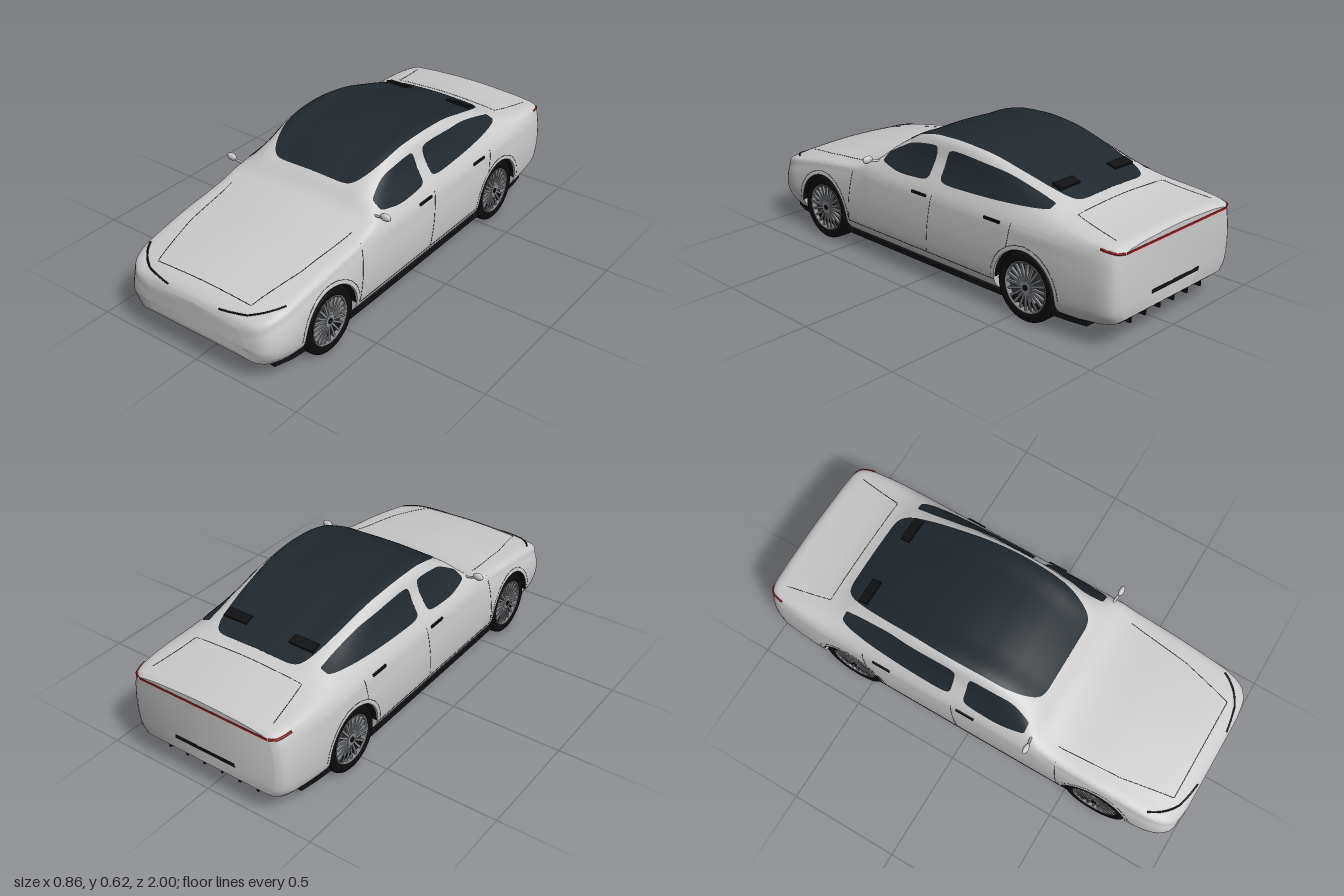
import * as THREE from 'three';
import { toCreasedNormals } from 'three/addons/utils/BufferGeometryUtils.js';

const paint = (color, side = THREE.FrontSide) => new THREE.MeshStandardMaterial({ color, side });
const V = (x, y, z) => new THREE.Vector3(x, y, z);
const lerp = THREE.MathUtils.lerp;
const steps = (n, f) => Array.from({ length: n + 1 }, (_, i) => f(i / n));

// Smooth, overshoot-free interpolation of table rows [z, a, b] (ascending z)
function table(rows) {
  const slope = (i, c) => (rows[i + 1][c] - rows[i][c]) / (rows[i + 1][0] - rows[i][0]);
  const tangent = (i, c) => {
    if (i === 0) return slope(0, c);
    if (i === rows.length - 1) return slope(i - 1, c);
    const a = slope(i - 1, c), b = slope(i, c);
    return a * b <= 0 ? 0 : 2 * a * b / (a + b);
  };
  return z => {
    let i = 0;
    while (i < rows.length - 2 && z > rows[i + 1][0]) i++;
    const h = rows[i + 1][0] - rows[i][0];
    const t = THREE.MathUtils.clamp((z - rows[i][0]) / h, 0, 1), t2 = t * t, t3 = t2 * t;
    return rows[i].slice(1).map((p, k) => (2 * t3 - 3 * t2 + 1) * p + (t3 - 2 * t2 + t) * h * tangent(i, k + 1)
      + (3 * t2 - 2 * t3) * rows[i + 1][k + 1] + (t3 - t2) * h * tangent(i + 1, k + 1));
  };
}

// Plan and sill: z, half width, bottom y
const plan = table([[-1, .34, .13], [-.98, .37, .115], [-.92, .388, .1], [-.7, .4, .085], [.45, .4, .085],
  [.85, .391, .092], [.93, .375, .1], [.97, .35, .108], [.99, .315, .12], [1, .25, .14]]);
// Centre line and roof edge: z, edge x, top y
const crown = table([[-1, .26, .422], [-.98, .27, .434], [-.92, .285, .44], [-.8, .275, .455], [-.7, .255, .477],
  [-.6, .25, .512], [-.45, .262, .556], [-.25, .274, .602], [-.1, .276, .615], [0, .274, .612], [.1, .268, .595],
  [.2, .262, .552], [.28, .27, .505], [.35, .29, .445], [.45, .29, .415], [.65, .29, .388], [.85, .29, .352],
  [.93, .28, .332], [.97, .26, .312], [.99, .23, .295], [1, .17, .272]]);

const AXLES = [.645, -.575], WHEEL_R = .145, ARCH_R = .156;

// Half cross-section from sill to roof centre; pillars lean in more where the roof is high
function section(z) {
  const [w, yb] = plan(z), [xr, yt] = crown(z);
  const yr = yt - .013, ys = Math.min(.39, yt - .058), ym = lerp(ys, yt, .54);
  const xm = lerp(xr, w - .014, Math.min(.88, .375 + 2.5 * (.615 - yt)));
  const half = [[w - .04, yb], [w - .012, yb + .035], [w, lerp(yb, ys, .45)], [w - .004, lerp(yb, ys, .8)],
    [w - .014, ys], [xm, ym], [xr, yr], [xr * .55, lerp(yt, yr, .35)]];
  const all = [...half, [0, yt], ...half.map(([x, y]) => [-x, y]).reverse()];
  return new THREE.CatmullRomCurve3(all.map(([x, y]) => V(x, y, 0))).getPoints(96).slice(0, 49);
}
// Surface look-ups: side x at height y, top y at offset x, nose z at (x, y)
function sideX(z, y, pts = section(z)) {
  for (let i = pts.length - 2; i >= 0; i--) {
    const a = pts[i], b = pts[i + 1];
    if (a.y <= y && y <= b.y) return lerp(a.x, b.x, (y - a.y) / (b.y - a.y || 1));
  }
  return y < pts[0].y ? pts[0].x : 0;
}
function topY(z, x, pts = section(z)) {
  x = Math.abs(x);
  for (let i = pts.length - 2; i >= 0; i--) {
    const a = pts[i], b = pts[i + 1];
    if (a.x >= x) return lerp(b.y, a.y, (x - b.x) / (a.x - b.x || 1));
  }
  return -1;
}
function noseZ(x, y) {
  let lo = .5, hi = 1;
  for (let i = 0; i < 20; i++) {
    const m = (lo + hi) / 2;
    if (y <= topY(m, x)) lo = m; else hi = m;
  }
  return lo;
}

// Surface from a grid of points
function grid(rows) {
  const n = rows[0].length, index = [];
  for (let i = 0; i < rows.length - 1; i++) for (let j = 0; j < n - 1; j++) {
    const a = i * n + j, c = a + n;
    index.push(a, a + 1, c + 1, a, c + 1, c);
  }
  const g = new THREE.BufferGeometry().setFromPoints(rows.flat());
  g.setIndex(index);
  g.computeVertexNormals();
  return g;
}
// Pane with rounded ends: row(z, k) where k falls from 1 to 0 at both ends
const pane = (z0, z1, n, row) => grid(steps(60, u => {
  const t = -Math.cos(Math.PI * u);
  return row(lerp(z0, z1, (1 + t) / 2), Math.max(0, 1 - Math.abs(t) ** n) ** (1 / n));
}));

// Shell with the wheel arches cut out of its lower edge
function bodyGeometry() {
  let zs = steps(100, t => -1 + 2 * t).concat([-.995, -.99, .99, .995, .998]);
  for (const c of AXLES) {
    zs = zs.filter(z => Math.abs(Math.abs(z - c) - ARCH_R) > .002);
    zs.push(c - ARCH_R - .0005, c + ARCH_R + .0005, ...steps(28, t => c + ARCH_R * Math.cos(Math.PI * t)));
  }
  zs.sort((a, b) => a - b);
  const ring = z => {
    const pts = section(z), c = AXLES.find(a => Math.abs(z - a) < ARCH_R + 1e-6);
    const low = c === undefined ? pts[0].y : WHEEL_R + Math.sqrt(Math.max(0, ARCH_R ** 2 - (z - c) ** 2));
    const edge = sideX(z, low, pts);
    const half = [V(0, low, z), ...pts.map(p => (p.y < low ? V(edge, low, z) : V(p.x, p.y, z)))];
    return [...half, ...half.slice(0, -1).reverse().map(p => V(-p.x, p.y, z))];
  };
  const rows = zs.map(ring), flat = row => row.map(p => V(0, p.y, p.z));
  return toCreasedNormals(grid([flat(rows[0]), ...rows, flat(rows[rows.length - 1])]), .7);
}

export function createModel() {
  const car = new THREE.Group();
  const grey = paint(0xcccccc), black = paint(0x111214), dark = paint(0x0c0c0d, THREE.DoubleSide);
  const glass = paint(0x20282e, THREE.DoubleSide), red = paint(0xa01818), alloy = paint(0x85878a);
  const add = (name, geo, mat, parent = car, pos = [0, 0, 0]) => {
    const m = new THREE.Mesh(geo, mat);
    m.name = name;
    m.position.set(...pos);
    parent.add(m);
    return m;
  };
  const box = (name, size, pos, mat) => add(name, new THREE.BoxGeometry(...size), mat, car, pos);
  // Thin line laid on the surface: pts are 2D, place() projects them
  const line = (name, pts, place, r, mat) => {
    const path = pts.slice(1).flatMap((b, i) => steps(10, t => [lerp(pts[i][0], b[0], t), lerp(pts[i][1], b[1], t)]).slice(i ? 1 : 0));
    const curve = new THREE.CatmullRomCurve3(path.map(p => place(...p)));
    add(name, new THREE.TubeGeometry(curve, path.length * 2, r, 5), mat);
  };
  const onTop = (x, z) => V(x, topY(z, x), z);

  add('body', bodyGeometry(), grey);

  // Glass roof running from windscreen to rear window
  const roofWidth = table([[-.682, .225], [-.4, .254], [-.1, .271], [.1, .264], [.275, .225]]);
  add('glassRoof', pane(-.682, .275, 10, (z, k) => {
    const w = roofWidth(z)[0] * k, pts = section(z);
    return steps(32, v => w * (1 - 2 * v)).map(x => V(x, topY(z, x, pts) + .003, z));
  }), glass);

  // Side windows as z, lower y, upper y
  const windows = {
    frontWindow: [[-.015, .437, .573], [.14, .43, .547], [.275, .448, .484]],
    rearWindow: [[-.635, .464, .482], [-.35, .447, .55], [-.078, .439, .574]],
  };
  // Windows, handles, seams, lamps and mirrors on both sides
  for (const s of [1, -1]) {
    const side = s > 0 ? 'left' : 'right';
    const onSide = (z, y) => V(s * sideX(z, y), y, z);
    for (const [name, rows] of Object.entries(windows)) {
      const span = table(rows);
      add(`${side} ${name}`, pane(rows[0][0], rows[2][0], 8, (z, k) => {
        const [lo, hi] = span(z), pts = section(z);
        const row = steps(12, v => (lo + hi) / 2 + (hi - lo) * k * (v - .5)).map(y => V(s * (sideX(z, y, pts) + .003), y, z));
        return s > 0 ? row : row.reverse();
      }), glass);
    }
    for (const z of [.012, -.403]) box(`${side} doorHandle`, [.012, .01, .085], [s * sideX(z, .38), .38, z], black);
    const seams = [[[.44, .39], [.47, .135]], [[-.06, .39], [-.03, .135]], [[-.5, .39], [-.485, .29]], [[.47, .135], [-.42, .135]]];
    for (const p of seams) line(`${side} doorSeam`, p, onSide, .001, black);
    for (const c of AXLES) {
      const arc = steps(12, t => [c + .174 * Math.cos(Math.PI * t), WHEEL_R + .174 * Math.sin(Math.PI * t)]);
      line(`${side} archSeam`, arc, onSide, .0008, black);
    }
    line(`${side} bonnetSeam`, [[s * .315, .42], [s * .29, .7], [s * .24, .93]], onTop, .001, black);
    line(`${side} bootSeam`, [[s * .3, -.94], [s * .265, -.73]], onTop, .001, black);
    line(`${side} headlight`, [[s * .35, .33], [s * .25, .304], [s * .13, .293]], (x, y) => V(x, y, noseZ(x, y)), .004, black);
    line(`${side} tailLight`, [[-.92, .404], [-.998, .395]], onSide, .005, red);
    box(`${side} roofVent`, [.115, .012, .045], [s * .165, topY(-.585, .165) + .006, -.585], black).rotation.x = -.3;

    const mirror = add(`${side} mirror`, new THREE.SphereGeometry(1, 12, 8), grey, car, [s * .403, .456, .315]);
    mirror.scale.set(.026, .017, .012);
    const stalk = new THREE.LineCurve3(V(s * .33, .437, .305), V(s * .395, .45, .315));
    add(`${side} mirrorStalk`, new THREE.TubeGeometry(stalk, 2, .005, 6), grey);
  }
  line('bonnetFrontSeam', [[-.24, .93], [.24, .93]], onTop, .001, black);
  line('bootFrontSeam', [[-.265, -.73], [.265, -.73]], onTop, .001, black);
  box('tailLightBar', [.63, .009, .008], [0, .395, -.998], red);
  box('rearSlot', [.3, .016, .006], [0, .19, -.998], black);

  // Flat underbody following the plan, and rear diffuser
  const outline = steps(24, t => lerp(-.86, .915, t)).map(z => [plan(z)[0] - .02 - .05 * Math.abs(z) ** 6, z]);
  const floor = new THREE.Shape([...outline, ...outline.map(([x, z]) => [-x, z]).reverse()].map(p => new THREE.Vector2(...p)));
  const floorGeo = new THREE.ExtrudeGeometry(floor, { depth: .02, bevelEnabled: false }).rotateX(Math.PI / 2);
  add('underbody', floorGeo, black, car, [0, .09, 0]);
  box('diffuser', [.6, .008, .13], [0, .094, -.9], black).rotation.x = .15;
  for (let i = 0; i < 6; i++) box('diffuserFin', [.008, .028, .11], [-.225 + i * .09, .09, -.91], black);
  for (const s of [1, -1]) box('rearReflector', [.022, .01, .012], [s * .28, .1, -.955], red);

  // Wheels: tyre, rim, spokes and hub, with a dark arch liner
  const lathe = pts => new THREE.LatheGeometry(pts.map(p => new THREE.Vector2(...p)), 48).rotateZ(-Math.PI / 2);
  const tread = [[.106, .044], [.118, .05], [.134, .049], [.142, .043], [.145, .032]];
  const tyre = lathe([...tread.map(([r, x]) => [r, -x]), ...tread.slice().reverse()]);
  const rim = lathe([[.107, -.044], [.107, .044], [.104, .047], [.099, .044], [.097, -.044]]);
  const disc = (r, depth) => new THREE.CylinderGeometry(r, r, depth, 32).rotateZ(Math.PI / 2);
  const backing = disc(.1, .05), hub = disc(.028, .016), cap = disc(.012, .02), backingPaint = paint(0x3a3c3e);
  const spoke = new THREE.BoxGeometry(.012, .08, .009).translate(0, .063, 0);
  const liner = new THREE.CylinderGeometry(ARCH_R - .002, ARCH_R - .002, .118, 32, 1, true, 0, Math.PI).rotateZ(Math.PI / 2);
  const linerWall = new THREE.CircleGeometry(ARCH_R - .002, 32, 0, Math.PI).rotateY(Math.PI / 2);
  for (const z of AXLES) for (const s of [1, -1]) {
    const wheel = new THREE.Group();
    wheel.name = `${s > 0 ? 'left' : 'right'} ${z > 0 ? 'front' : 'rear'} wheel`;
    wheel.position.set(s * .338, WHEEL_R, z);
    wheel.rotation.y = s > 0 ? 0 : Math.PI;
    add('tyre', tyre, dark, wheel);
    add('rim', rim, alloy, wheel);
    add('brakeBacking', backing, backingPaint, wheel);
    add('hub', hub, alloy, wheel, [.037, 0, 0]);
    add('hubCap', cap, black, wheel, [.038, 0, 0]);
    for (let i = 0; i < 20; i++) add('spoke', spoke, alloy, wheel, [.036, 0, 0]).rotation.x = i * Math.PI / 10;
    car.add(wheel);
    add('archLiner', liner, dark, car, [s * .334, WHEEL_R, z]);
    add('archLinerWall', linerWall, dark, car, [s * .275, WHEEL_R, z]);
  }
  return car;
}
